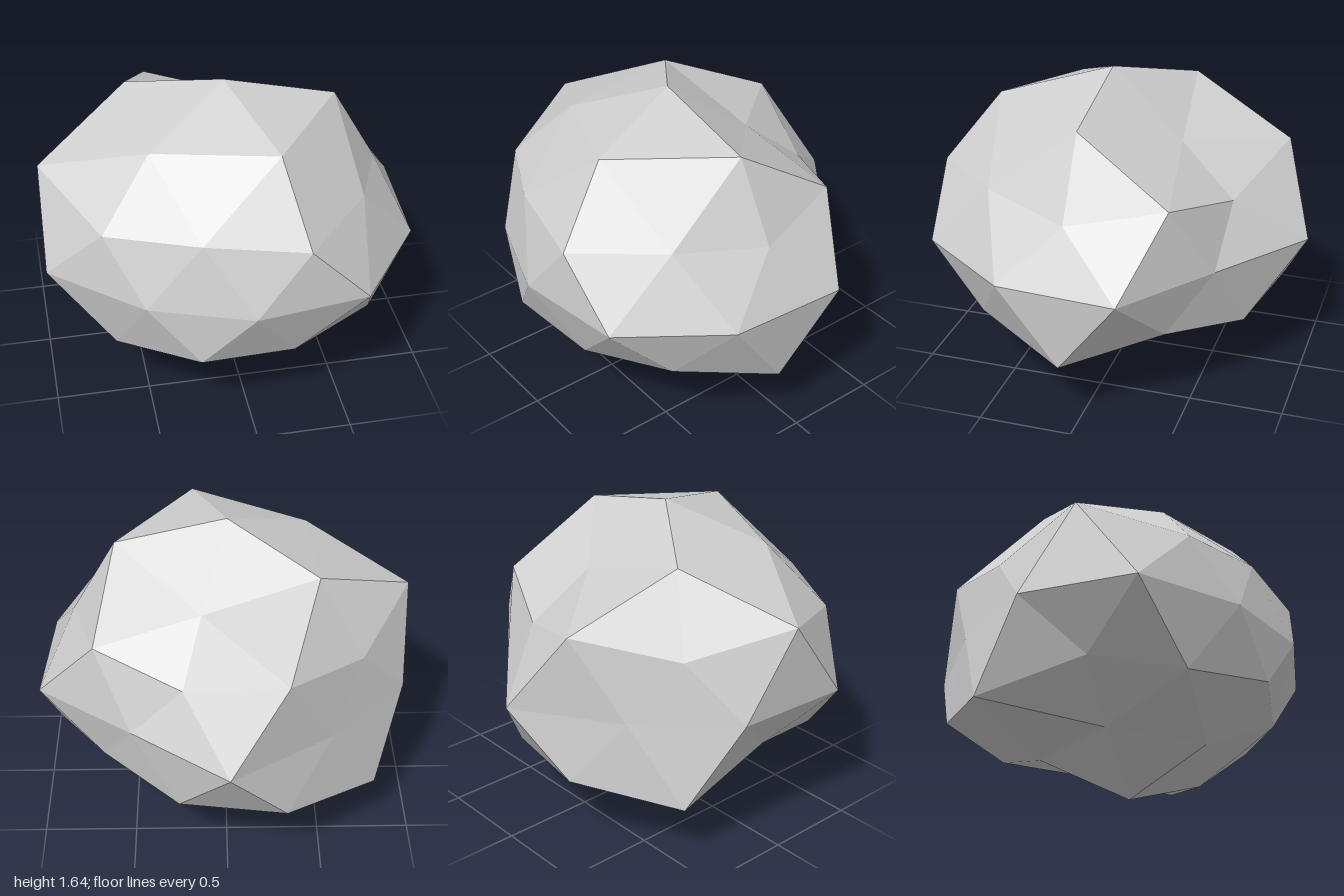
import * as THREE from 'three';

// Rings of a once-subdivided icosahedron: height, first azimuth (degrees),
// and how far each corner is pushed in or out from the centre.
const RINGS = {
  top: [1, 0, [1.147]],
  crown: [0.851, 0, [1.13, 1.13, 1.03, 1.107, 0.845]],
  shoulderMid: [0.526, 36, [0.935, 0.925, 1.15, 1.125, 1.01]],
  shoulder: [0.447, 0, [0.925, 1.01, 0.98, 0.96, 0.85]],
  waist: [0, 18, [1.02, 1.02, 0.91, 0.895, 1.04, 0.995, 0.913, 1.085, 0.865, 1.063]],
  hip: [-0.447, 36, [0.96, 0.945, 0.86, 1.086, 0.925]],
  hipMid: [-0.526, 0, [1.11, 0.913, 0.96, 1.15, 1.0]],
  foot: [-0.851, 36, [0.94, 0.9, 0.855, 0.89, 0.815]],
  bottom: [-1, 0, [1.04]],
};
const CENTRE = new THREE.Vector3(-0.01, 0.78, 0.085);
const FLATTEN = 0.75;

function ringPoints([height, start, pushes]) {
  const radius = Math.sqrt(1 - height * height);
  return pushes.map((push, i) => {
    const a = THREE.MathUtils.degToRad(start + (360 / pushes.length) * i);
    return new THREE.Vector3(radius * Math.cos(a), height * FLATTEN, radius * Math.sin(a))
      .multiplyScalar(push)
      .add(CENTRE);
  });
}

function rockGeometry() {
  const p = {};
  for (const name in RINGS) p[name] = ringPoints(RINGS[name]);
  const at = (name) => (i) => p[name][(i + p[name].length) % p[name].length];
  const U = at('crown'), M = at('shoulderMid'), R = at('shoulder'), E = at('waist');
  const L = at('hip'), H = at('hipMid'), F = at('foot');
  const T = p.top[0], B = p.bottom[0];

  // Sixteen facets per fifth of the rock
  const corners = [];
  for (let i = 0; i < 5; i++) {
    const e = 2 * i;
    corners.push(
      // upper half
      T, U(i + 1), U(i),
      U(i), U(i + 1), M(i),
      U(i), M(i), R(i),
      U(i + 1), R(i + 1), M(i),
      R(i), M(i), E(e),
      M(i), E(e + 1), E(e),
      M(i), R(i + 1), E(e + 1),
      R(i), E(e), E(e - 1),
      // lower half
      E(e), E(e + 1), L(i),
      E(e - 1), E(e), H(i),
      E(e), L(i), H(i),
      E(e + 1), H(i + 1), L(i),
      L(i), F(i), H(i),
      H(i + 1), F(i), L(i),
      H(i + 1), F(i + 1), F(i),
      F(i), F(i + 1), B,
    );
  }
  const geometry = new THREE.BufferGeometry().setFromPoints(corners);
  geometry.computeVertexNormals(); // unshared corners give flat facets
  return geometry;
}

export function createModel() {
  const stone = new THREE.MeshStandardMaterial({ color: 0xd0d0d0 });
  stone.name = 'stoneGrey';
  stone.flatShading = true;

  const rock = new THREE.Mesh(rockGeometry(), stone);
  rock.name = 'rock';

  const model = new THREE.Group();
  model.name = 'boulder';
  model.add(rock);
  return model;
}
